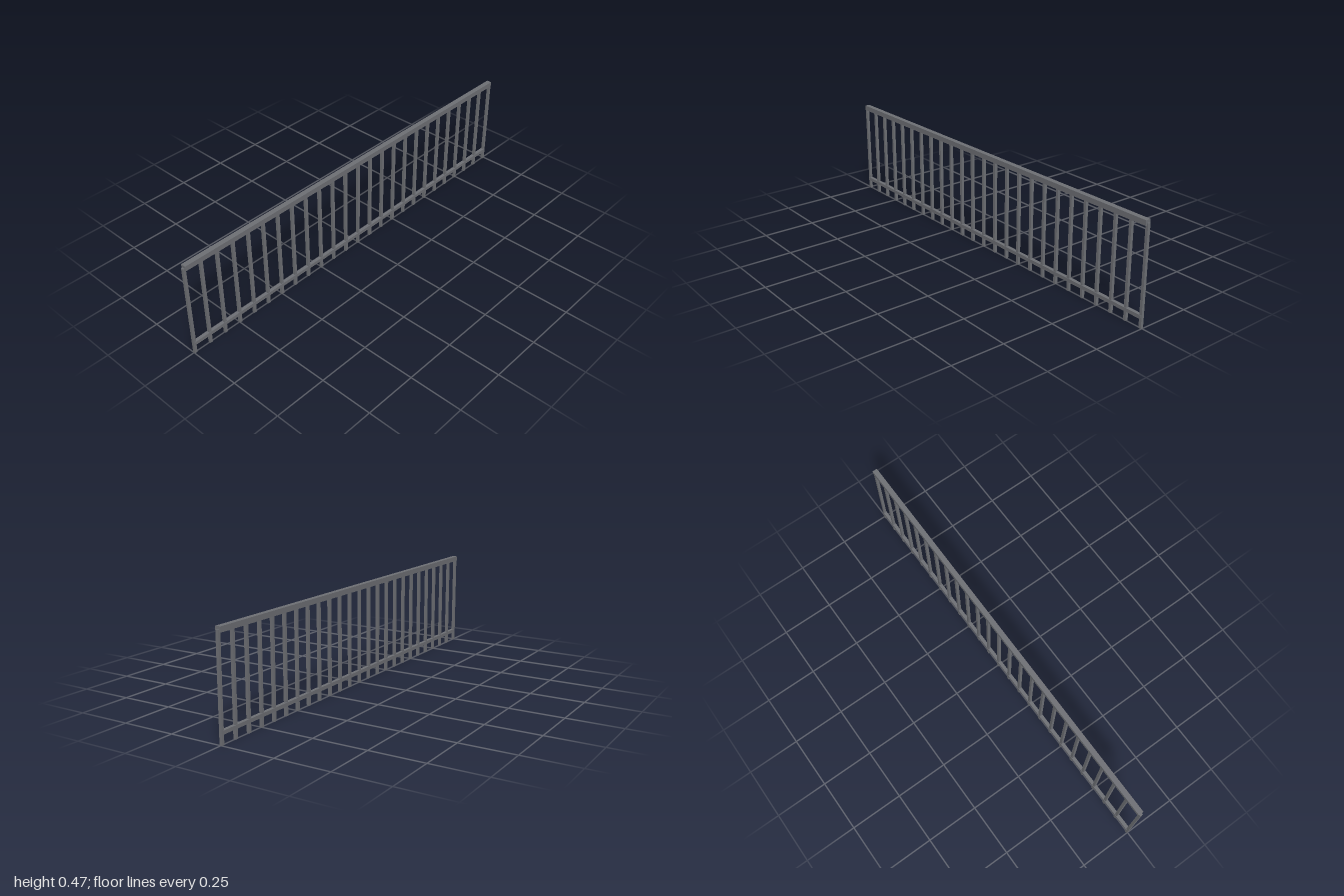
import * as THREE from 'three';

export function createModel() {
  const railing = new THREE.Group();
  railing.name = 'railing';
  const steel = new THREE.MeshStandardMaterial({ color: 0x6e7075 });
  steel.name = 'grey steel';

  const addBar = (name, geometry, y, z = 0) => {
    const bar = new THREE.Mesh(geometry, steel);
    bar.name = name;
    bar.position.set(0, y, z);
    railing.add(bar);
  };

  // Evenly spaced square balusters; the end ones stand half outside the rails
  const count = 25, thickness = 0.013, height = 0.452;
  const length = 2 - thickness;
  const balusterGeometry = new THREE.BoxGeometry(thickness, height, thickness);
  for (let i = 0; i < count; i++) {
    addBar(`baluster${i + 1}`, balusterGeometry, height / 2, (i / (count - 1) - 0.5) * length);
  }

  // Handrail and slimmer bottom rail
  addBar('handrail', new THREE.BoxGeometry(0.024, 0.024, length), 0.453);
  addBar('bottomRail', new THREE.BoxGeometry(0.0165, 0.0165, length), 0.051);

  return railing;
}
